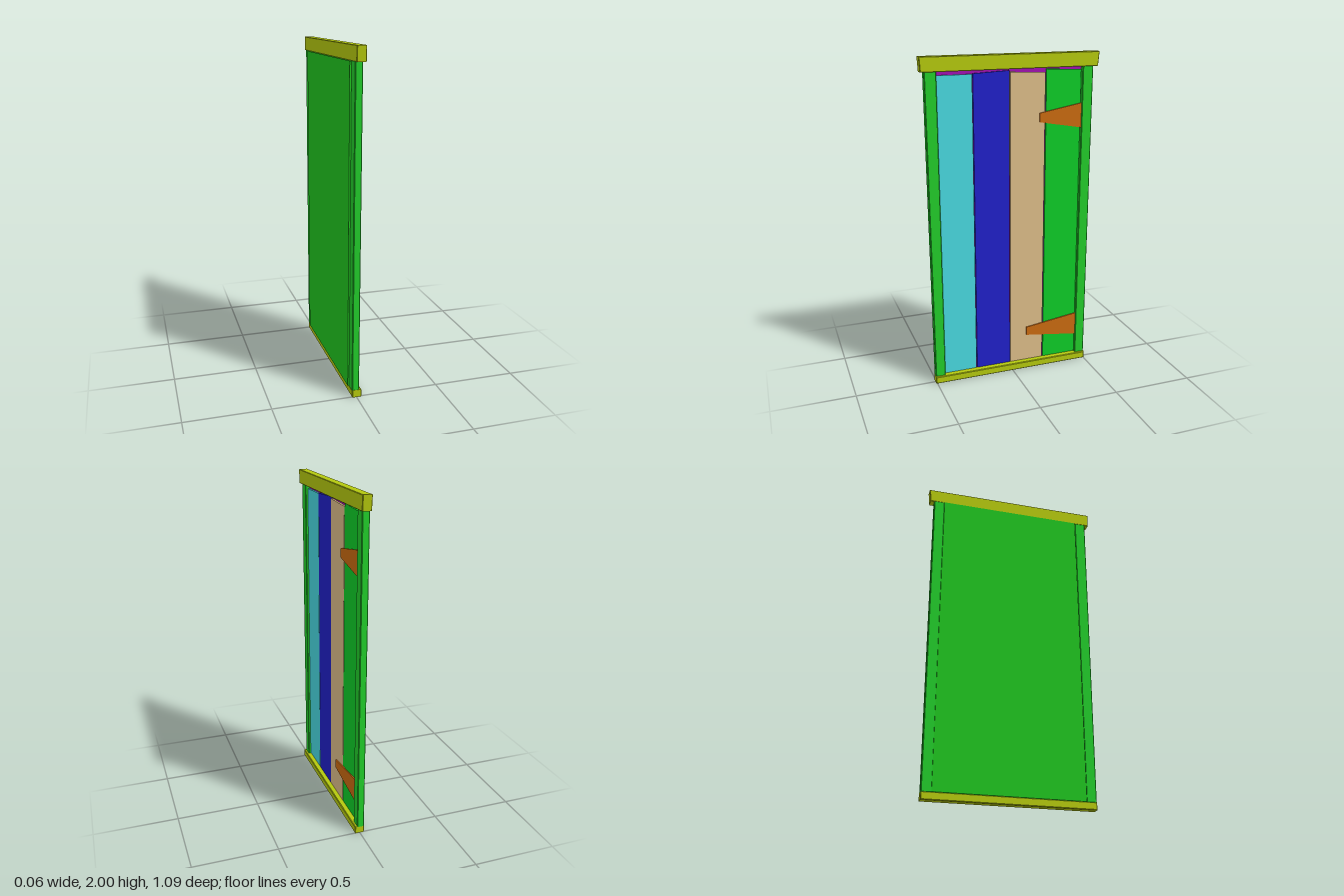
import * as THREE from 'three';

// Extrudes an outline drawn as seen from +x (u = -z, y up) between two x values.
function slab(name, color, outline, x0, x1, bevel = 0) {
  const shape = new THREE.Shape(outline.map(([u, y]) => new THREE.Vector2(u, y)));
  const geometry = new THREE.ExtrudeGeometry(shape, {
    depth: x1 - x0 - 2 * bevel,
    bevelEnabled: bevel > 0,
    bevelThickness: bevel,
    bevelSize: bevel,
    bevelOffset: -bevel,
    bevelSegments: 1,
  });
  geometry.rotateY(Math.PI / 2);
  geometry.translate(x0 + bevel, 0, 0);
  const mesh = new THREE.Mesh(geometry, new THREE.MeshStandardMaterial({ color, flatShading: true }));
  mesh.name = name;
  return mesh;
}

export function createModel() {
  const door = new THREE.Group();
  door.name = 'door';
  const frameGreen = 0x22cc2a, beamYellow = 0xb4c80e;

  // Frame: two slightly leaning posts, a sill and an overhanging lintel
  door.add(
    slab('leftPost', frameGreen, [[-0.505, 0.04], [-0.443, 0.04], [-0.445, 1.92], [-0.515, 1.92]], -0.027, 0.016, 0.004),
    slab('rightPost', frameGreen, [[0.44, 0.04], [0.503, 0.04], [0.51, 1.92], [0.443, 1.92]], -0.027, 0.016, 0.004),
    slab('sill', beamYellow, [[-0.507, 0], [0.503, 0], [0.503, 0.045], [-0.507, 0.045]], -0.027, 0.03, 0.004),
    slab('lintel', beamYellow, [[-0.538, 1.915], [0.535, 1.915], [0.543, 2], [-0.543, 2]], -0.027, 0.027, 0.003),
  );

  // Back panel and the backing board seen through the plank gaps
  door.add(
    slab('backPanel', 0x20c41f, [[-0.442, 0.043], [0.445, 0.043], [0.445, 1.915], [-0.442, 1.915]], -0.034, -0.018),
    slab('backingBoard', 0xa012b0, [[-0.445, 0.043], [0.445, 0.043], [0.445, 1.915], [-0.445, 1.915]], -0.018, -0.01),
  );

  // Planks: colour, edges in u, and the heights of the uneven top
  const planks = [
    [0x48d8e0, -0.443, -0.236, 1.893, 1.893],
    [0x2020c8, -0.231, -0.012, 1.896, 1.906],
    [0xdcbc88, -0.007, 0.21, 1.897, 1.888],
    [0x0ecc28, 0.217, 0.438, 1.906, 1.897],
  ];
  planks.forEach(([color, u0, u1, top0, top1], i) => {
    door.add(slab(`plank${i + 1}`, color, [[u0, 0.05], [u1, 0.05], [u1, top1], [u0, top0]], -0.01, 0.002));
  });

  // Tapered hinge straps: name, tip position and centre height
  for (const [name, tip, y] of [['upperHinge', 0.176, 1.625], ['lowerHinge', 0.1, 0.252]]) {
    door.add(slab(name, 0xca6a10, [[tip, y - 0.027], [0.443, y - 0.074], [0.443, y + 0.074], [tip, y + 0.027]], 0.002, 0.009));
  }
  return door;
}
